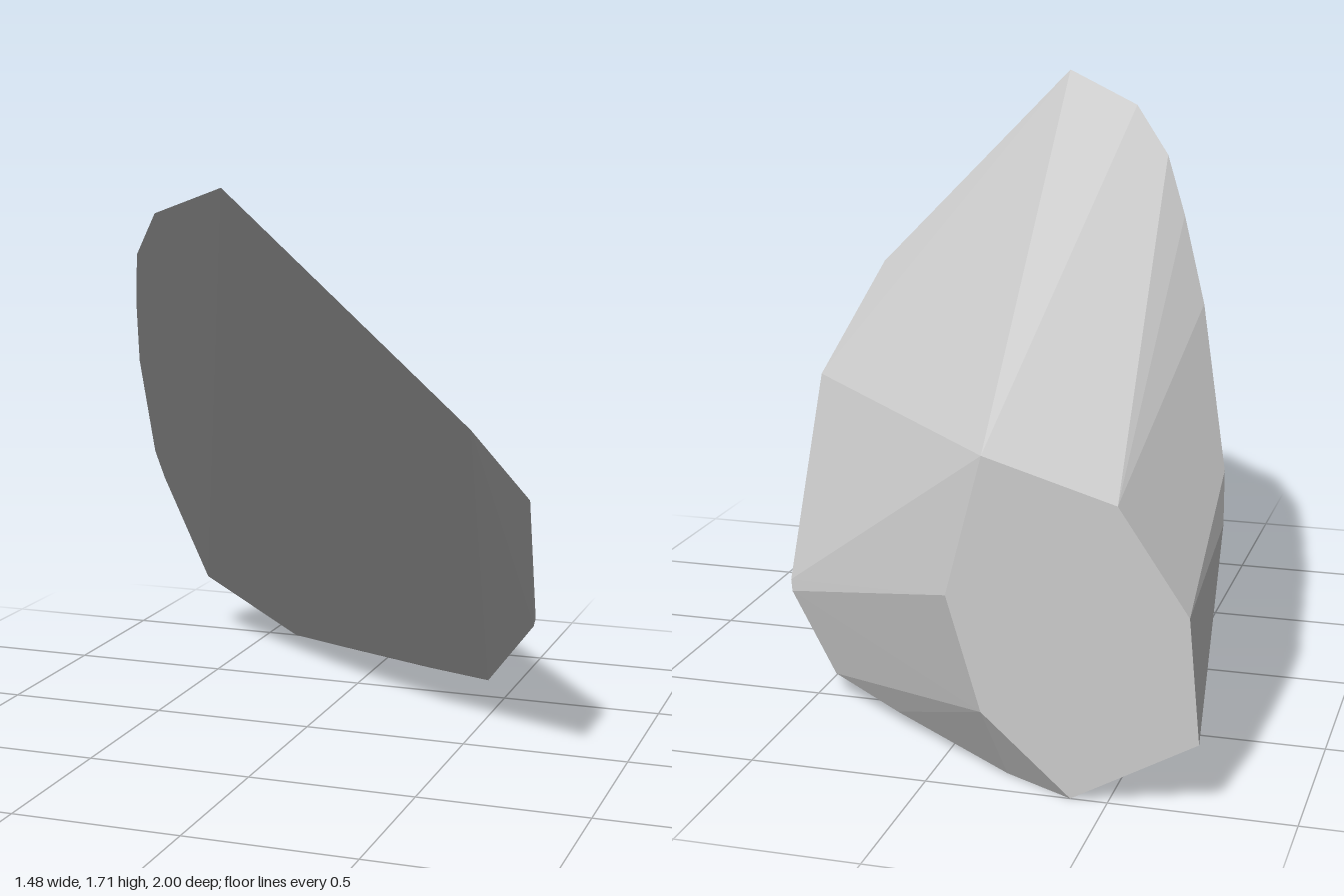
import * as THREE from 'three';
import { ConvexGeometry } from 'three/addons/geometries/ConvexGeometry.js';

// The slanted underside is one flat cut: z follows from x and y.
const onCut = ([x, y]) =>
  new THREE.Vector3(x, y, Math.max(-1, -0.793 + 0.56 * x + 1.006 * y));

export function createModel() {
  const group = new THREE.Group();
  group.name = 'rockShard';
  const stone = new THREE.MeshStandardMaterial({ color: 0xcccccc, flatShading: true });
  stone.name = 'stone grey';

  // Outline of the slanted cut, from the tip round to the foot
  const cut = [
    [0.13, 1.71], [-0.16, 1.625], [-0.31, 1.495], [-0.41, 1.34], [-0.53, 1.125],
    [-0.685, 0.755], [-0.708, 0.64], [-0.74, 0.19], [-0.4, 0], [-0.2, 0.004],
    [0.2, 0.034], [0.45, 0.06], [0.695, 1.08],
  ].map(onCut);

  // Flat broken end at the back
  const end = [
    [-0.16, 0.915], [-0.52, 0.81], [-0.71, 0.53], [-0.74, 0.19],
    [-0.4, 0], [-0.155, 0.215], [-0.06, 0.53],
  ].map(([x, y]) => new THREE.Vector3(x, y, -1));

  // Ridge along the chamfered side
  const ridge = [
    [0.735, 0.8, 0.18], [0.625, 0.305, -0.385], [0.615, 0.275, -0.402],
  ].map((p) => new THREE.Vector3(...p));

  const shard = new THREE.Mesh(new ConvexGeometry([...cut, ...end, ...ridge]), stone);
  shard.name = 'shard';
  group.add(shard);
  return group;
}
